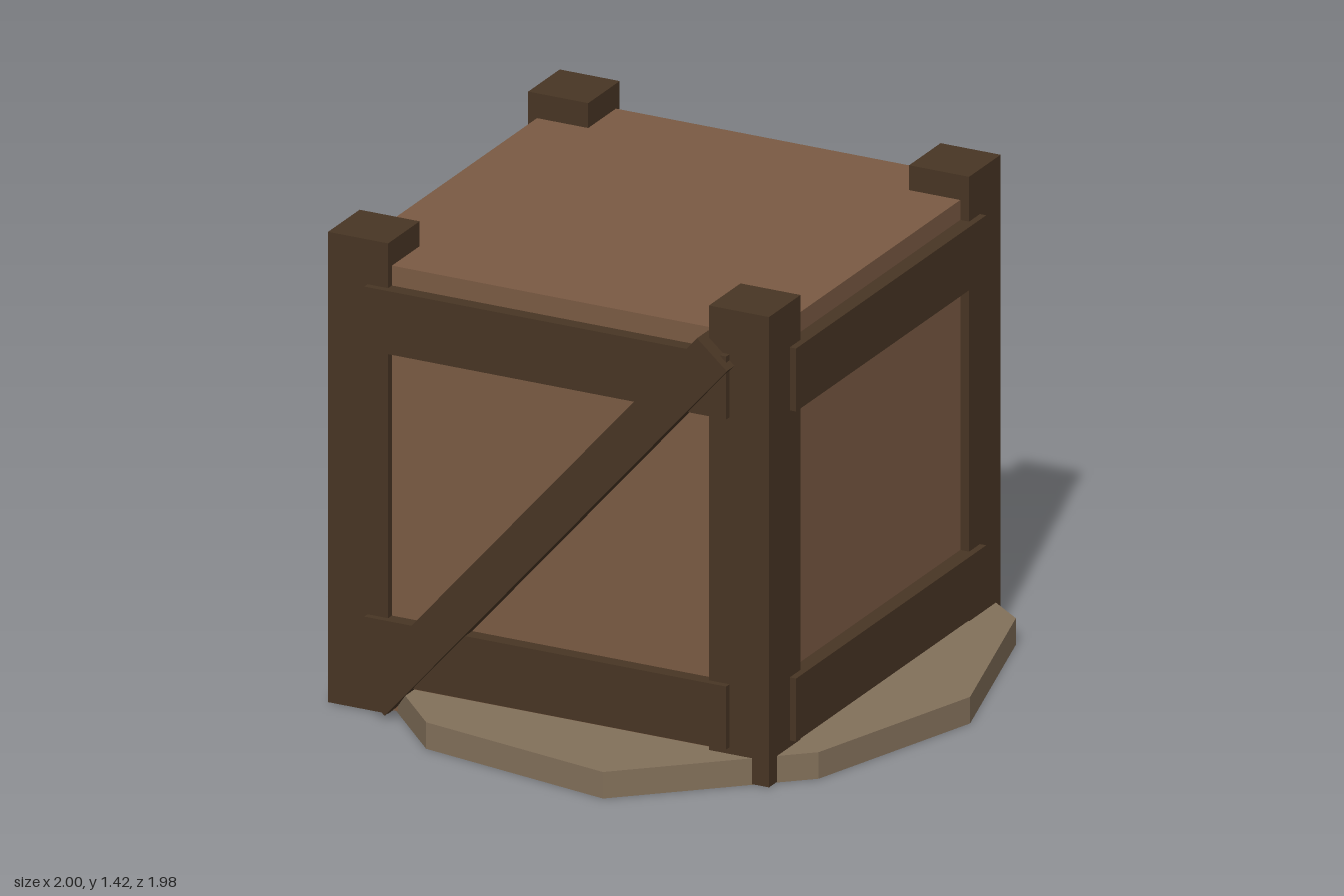
import * as THREE from 'three';

export function createModel() {
  const model = new THREE.Group();
  const mat = (name, color) => {
    const m = new THREE.MeshStandardMaterial({ color });
    m.name = name;
    return m;
  };
  const panelWood = mat('panel wood', 0x7a5a43);
  const darkWood = mat('dark wood', 0x483524);
  const stone = mat('stone', 0x82705a);

  // Box given by its min and max corners
  const box = (name, material, [x0, y0, z0], [x1, y1, z1], parent) => {
    const mesh = new THREE.Mesh(new THREE.BoxGeometry(x1 - x0, y1 - y0, z1 - z0), material);
    mesh.position.set((x0 + x1) / 2, (y0 + y1) / 2, (z0 + z1) / 2);
    mesh.name = name;
    parent.add(mesh);
    return mesh;
  };

  // Irregular ten-sided slab, outline in x and z
  const outline = [
    [1, 0], [0.82, 0.57], [0.355, 0.985], [-0.26, 0.88], [-0.655, 0.47],
    [-1, 0], [-0.77, -0.59], [-0.285, -0.99], [0.345, -0.96], [0.835, -0.59],
  ];
  const shape = new THREE.Shape(outline.map(([x, z]) => new THREE.Vector2(x, -z)));
  const slabGeometry = new THREE.ExtrudeGeometry(shape, { depth: 0.08, bevelEnabled: false });
  slabGeometry.rotateX(-Math.PI / 2);
  const slab = new THREE.Mesh(slabGeometry, stone);
  slab.name = 'baseSlab';
  model.add(slab);

  // Crate, slightly off centre on the slab
  const crate = new THREE.Group();
  crate.name = 'crate';
  crate.position.x = 0.032;
  model.add(crate);
  box('crateBody', panelWood, [-0.67, 0.005, -0.675], [0.67, 1.345, 0.675], crate);

  // Corner posts
  for (const sx of [-1, 1]) {
    for (const sz of [-1, 1]) {
      const post = box('cornerPost', darkWood, [-0.095, 0.002, -0.095], [0.095, 1.42, 0.095], crate);
      post.position.x = sx * 0.603;
      post.position.z = sz * 0.603;
    }
  }

  // Upper and lower rails on all four sides
  for (let side = 0; side < 4; side++) {
    const rails = new THREE.Group();
    rails.name = 'sideRails';
    rails.rotation.y = side * Math.PI / 2;
    crate.add(rails);
    for (const y of [0.1, 1.095]) {
      box('rail', darkWood, [-0.573, y, 0.66], [0.573, y + 0.19, 0.718], rails);
    }
  }

  // Diagonal brace across the front
  const brace = new THREE.Mesh(new THREE.BoxGeometry(1.645, 0.125, 0.07), darkWood);
  brace.position.set(0, 0.675, 0.71);
  brace.rotation.z = Math.atan2(1.24, 1.085);
  brace.name = 'diagonalBrace';
  crate.add(brace);

  return model;
}
